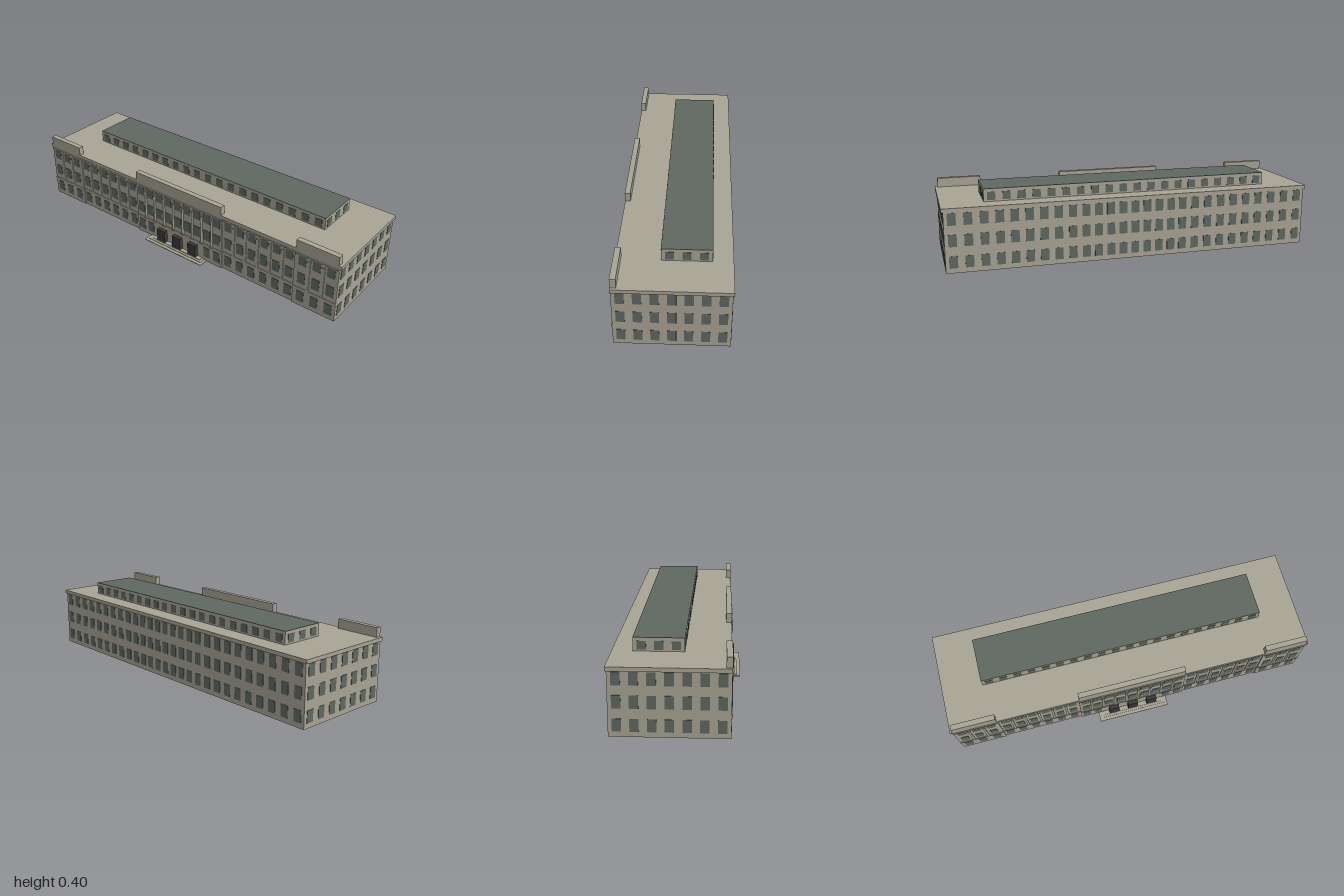
import * as THREE from 'three';
import { mergeGeometries } from 'three/addons/utils/BufferGeometryUtils.js';

const mat = (name, color) => {
  const m = new THREE.MeshStandardMaterial({ color });
  m.name = name;
  return m;
};

// Box from its lower and upper corners
function box(x0, x1, y0, y1, z0, z1) {
  return new THREE.BoxGeometry(x1 - x0, y1 - y0, z1 - z0)
    .translate((x0 + x1) / 2, (y0 + y1) / 2, (z0 + z1) / 2);
}

export function createModel() {
  const stone = mat('stone', 0xa8a494);
  const glass = mat('window glass', 0x5f6861);
  const dark = mat('dark door', 0x3a3a3b);

  const model = new THREE.Group();
  const add = (name, material, ...geos) => {
    const mesh = new THREE.Mesh(mergeGeometries(geos.map(g => g.index ? g.toNonIndexed() : g)), material);
    mesh.name = name;
    model.add(mesh);
  };

  const T = 0.005;                   // wall thickness
  const P = 0.002;                   // how far panes stand out on each side
  const EAST = 0.298, WEST = -0.255, RECESS = -0.249;
  const TOP = 0.315;
  const floors = [[0.026, 0.088], [0.137, 0.2], [0.247, 0.31]];

  // Evenly spaced centres of n bays between a and b
  const bays = (a, b, n) => Array.from({ length: n }, (_, i) => a + (b - a) * (i + 0.5) / n);

  // Panes in a wall running along z, from x to x + T
  const panesZ = (x, a, b, n, rows, w) => rows.flatMap(([y0, y1]) =>
    bays(a, b, n).map(z => box(x - P, x + T + P, y0, y1, z - w / 2, z + w / 2)));
  // Panes in a wall running along x, from z to z + T
  const panesX = (z, a, b, n, rows, w) => rows.flatMap(([y0, y1]) =>
    bays(a, b, n).map(x => box(x - w / 2, x + w / 2, y0, y1, z - P, z + T + P)));

  // Five blocks along the length: [start, end, bays, west face]
  const blocks = [
    [-0.99, -0.75, 3, WEST], [-0.75, -0.3, 6, RECESS], [-0.3, 0.3, 9, WEST],
    [0.3, 0.75, 6, RECESS], [0.75, 0.99, 3, WEST],
  ];
  const walls = [], panes = [], pilasters = [], courses = [];
  blocks.forEach(([a, b, n, west], i) => {
    walls.push(box(EAST - T, EAST, 0, TOP, a, b), box(west, west + T, 0, TOP, a, b));
    panes.push(...panesZ(EAST - T, a, b, n, floors, 0.043));
    // The centre block has doors instead of ground-floor windows in its middle
    panes.push(...panesZ(west, a, b, n, floors.slice(1), 0.043));
    const ground = bays(a, b, n).filter(z => i !== 2 || Math.abs(z) > 0.18);
    ground.forEach(z => panes.push(box(west - P, west + T + P, ...floors[0], z - 0.021, z + 0.021)));
    // String course above the ground floor and moulding under the roof
    courses.push(box(west - 0.004, west, 0.1, 0.11, a, b), box(west - 0.005, west, 0.306, 0.312, a, b));
    // Flat pilasters between the bays of the outer blocks
    if (i !== 2) for (let k = 1; k < n; k++) {
      const z = a + (b - a) * k / n;
      pilasters.push(box(west - 0.004, west, 0.11, 0.306, z - 0.006, z + 0.006));
      pilasters.push(box(west - 0.006, west, 0.281, 0.288, z - 0.009, z + 0.009));
    }
  });

  // End walls and cross walls
  [-0.99, -0.75, -0.3, 0.3 - T, 0.75 - T, 0.99 - T].forEach(z => {
    walls.push(box(WEST, EAST, 0, TOP, z, z + T));
    panes.push(...panesX(z, WEST, EAST, 7, floors, 0.042));
  });
  add('walls', stone, ...walls);
  add('windows', glass, ...panes);
  add('pilasters', stone, ...pilasters);
  add('stringCourses', stone, ...courses);

  // Roof slab with its overhang
  add('roofSlab', stone, box(-0.256, 0.304, TOP, 0.335, -1, 1));

  // Parapets over the centre and the two end blocks
  add('parapets', stone, ...[[-0.985, -0.75], [-0.298, 0.295], [0.75, 0.985]]
    .map(([a, b]) => box(-0.257, -0.228, 0.335, 0.384, a, b)));

  // Rooftop storey
  const px0 = -0.038, px1 = 0.205, pz = 0.78;
  const upper = [[0.343, 0.385]];
  add('rooftopStorey', stone, box(px0, px1, 0.335, 0.4, -pz, pz));
  add('rooftopRoof', glass, box(px0, px1, 0.4, 0.402, -pz, pz));
  add('rooftopWindows', glass,
    ...panesZ(px0, -pz, pz, 20, upper, 0.042), ...panesZ(px1 - T, -pz, pz, 20, upper, 0.042),
    ...panesX(-pz, px0, px1, 3, upper, 0.042), ...panesX(pz - T, px0, px1, 3, upper, 0.042));

  // Round columns between the bays of the centre block
  const columns = [];
  for (let k = 1; k < 9; k++) {
    const z = -0.3 + 0.6 * k / 9, x = -0.255;
    columns.push(
      new THREE.CylinderGeometry(0.006, 0.0075, 0.166, 12).translate(x, 0.198, z),
      box(x - 0.01, x + 0.008, 0.108, 0.115, z - 0.01, z + 0.01),
      box(x - 0.01, x + 0.008, 0.281, 0.288, z - 0.01, z + 0.01),
      box(x - 0.005, x + 0.005, 0.288, 0.306, z - 0.007, z + 0.007));
  }
  add('columns', stone, ...columns);

  // Entrance doors, with glazing on the inside
  const doors = [-0.11, 0, 0.11];
  add('doors', dark, ...doors.map(z => box(-0.277, -0.249, 0.01, 0.081, z - 0.028, z + 0.028)));
  add('doorGlazing', glass, ...doors.map(z => box(-0.25, -0.247, 0.014, 0.074, z - 0.022, z + 0.022)));

  // Entrance steps
  add('steps', stone,
    box(-0.31, WEST, 0, 0.004, -0.2, 0.2),
    box(-0.292, WEST, 0.004, 0.007, -0.185, 0.185),
    box(-0.279, WEST, 0.007, 0.01, -0.17, 0.17));

  // The whole building is turned very slightly
  model.rotation.y = 0.006;
  return model;
}
